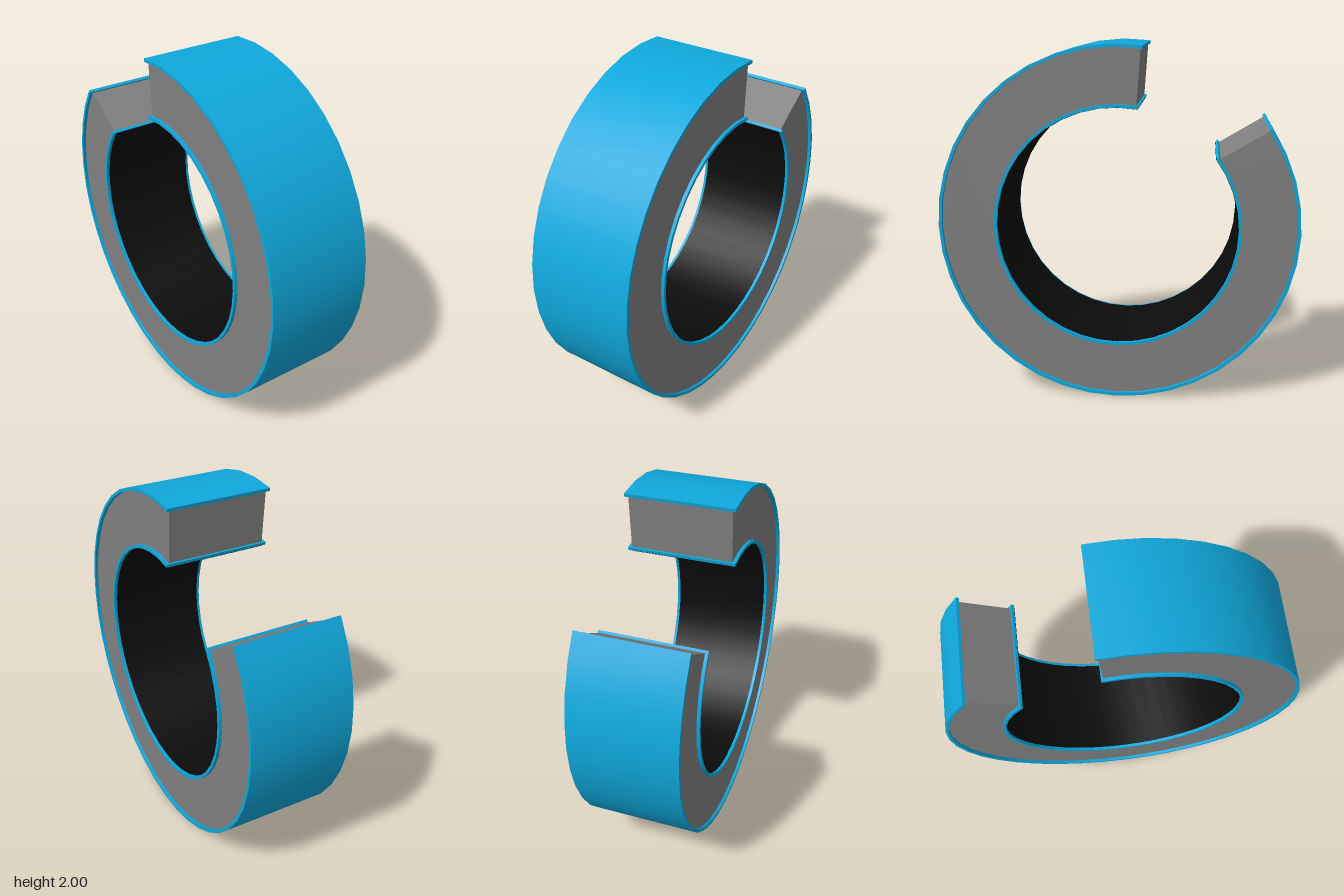
import * as THREE from 'three';
import { toCreasedNormals } from 'three/addons/utils/BufferGeometryUtils.js';

const SEGMENTS = 35;
const blue = new THREE.MeshStandardMaterial({ color: 0x0fa8dc });
const grey = new THREE.MeshStandardMaterial({ color: 0x808080 });
const black = new THREE.MeshStandardMaterial({ color: 0x0c0c0c });

// Points on an arc around the ring axis; degrees run from the top toward the back
function arc(radius, from, to) {
  return Array.from({ length: SEGMENTS + 1 }, (_, i) => {
    const a = THREE.MathUtils.degToRad(from + (to - from) * i / SEGMENTS);
    return new THREE.Vector2(radius * Math.sin(a), radius * Math.cos(a));
  });
}

// Open ring between two arcs, extruded along x and centred
function openRing(name, outer, inner, halfWidth, material) {
  const shape = new THREE.Shape([...arc(...outer), ...arc(...inner).reverse()]);
  const raw = new THREE.ExtrudeGeometry(shape, { depth: 2 * halfWidth, bevelEnabled: false });
  raw.translate(0, 0, -halfWidth);
  raw.rotateY(Math.PI / 2);
  const mesh = new THREE.Mesh(toCreasedNormals(raw, 0.6), material);
  mesh.name = name;
  mesh.position.y = 1;
  return mesh;
}

export function createModel() {
  const ring = new THREE.Group();
  ring.name = 'openRing';
  ring.add(
    // Thin skins stand slightly proud of the core at the sides and ends
    openRing('outerShell', [1, 55.1, 368.1], [0.982, 55.1, 368.1], 0.298, blue),
    openRing('innerShell', [0.685, 53.2, 370], [0.668, 53.2, 370], 0.298, blue),
    // Core with slightly skewed end faces
    openRing('core', [0.983, 55.7, 367.5], [0.684, 54.4, 369], 0.28, grey),
    // Dark lining of the bore
    openRing('boreLining', [0.67, 53.3, 369.9], [0.665, 53.3, 369.9], 0.28, black)
  );
  return ring;
}
